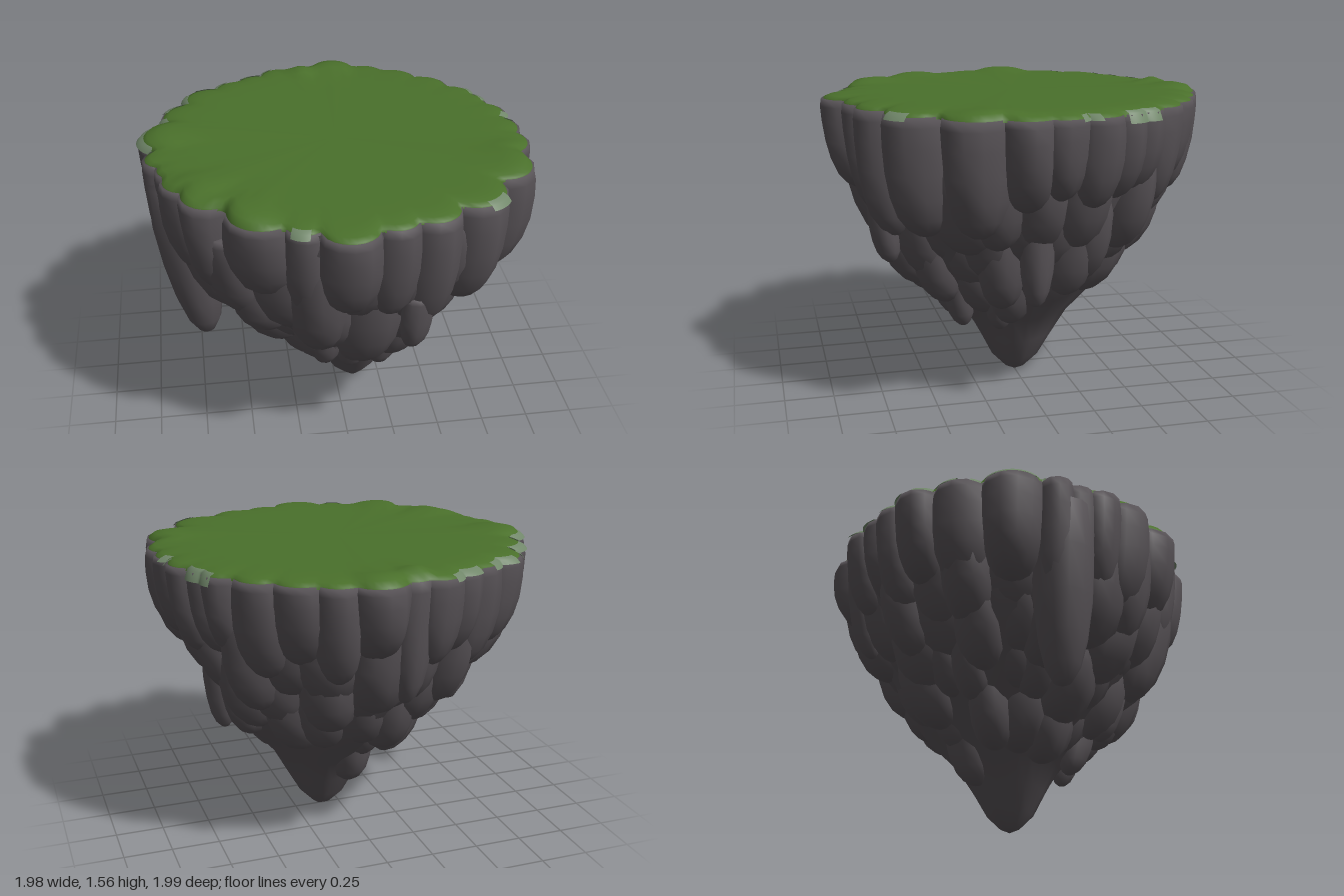
import * as THREE from 'three';
import { mergeVertices } from 'three/addons/utils/BufferGeometryUtils.js';

const TOP = 1.505;

// Rim lobes: outermost x, outermost z, half width, bottom height
const RIM = [
  [0.98, -0.05, 0.12, 1.1], [0.985, 0.14, 0.14, 1.05], [0.93, 0.42, 0.17, 0.92],
  [0.7, 0.71, 0.17, 0.9], [0.42, 0.85, 0.14, 0.86], [0.2, 0.9, 0.12, 0.95],
  [-0.05, 0.99, 0.15, 1.03], [-0.27, 0.88, 0.1, 0.99], [-0.52, 0.8, 0.18, 1.05],
  [-0.78, 0.54, 0.15, 0.97], [-0.88, 0.36, 0.12, 1.0], [-0.91, 0.21, 0.1, 0.95],
  [-0.97, 0.08, 0.09, 0.9],
  [-0.99, -0.17, 0.17, 1.0], [-0.86, -0.45, 0.16, 1.0], [-0.72, -0.67, 0.14, 1.05],
  [-0.53, -0.78, 0.14, 0.98], [-0.39, -0.85, 0.12, 1.08], [-0.23, -0.94, 0.12, 1.05],
  [-0.08, -0.93, 0.1, 0.87], [0.12, -1.0, 0.15, 1.12], [0.32, -0.92, 0.12, 1.0],
  [0.5, -0.83, 0.15, 1.08], [0.68, -0.69, 0.14, 1.0], [0.82, -0.52, 0.12, 1.1],
  [0.87, -0.41, 0.12, 1.08], [0.95, -0.25, 0.12, 1.05],
];

// Lower tiers: count, outer radius, half width, bottom height, lobe length
const TIERS = [
  [21, 0.88, 0.16, 0.84, 0.5], [20, 0.77, 0.155, 0.68, 0.48],
  [17, 0.65, 0.145, 0.53, 0.46], [13, 0.49, 0.125, 0.38, 0.42],
];

// Notable single lobes: x, z, half width, bottom, top, inward lean
const SINGLES = [
  [-0.22, 0.86, 0.18, 0.68, 1.4, 0.1], [0.1, 0.78, 0.18, 0.52, 1.15, 0.1],
  [0.74, 0.03, 0.09, 0.53, 1.05, 0.02], [0.33, 0.8, 0.08, 0.71, 1.05, 0.04],
  [-0.15, 0.6, 0.1, 0.46, 0.9, 0.06], [0.06, 0.47, 0.1, 0.32, 0.75, 0.06],
  [-0.33, 0.25, 0.16, 0.3, 0.8, 0.05], [0.42, 0.18, 0.09, 0.31, 0.75, 0.04],
  [0.27, 0.42, 0.09, 0.31, 0.75, 0.05], [0.7, -0.2, 0.13, 0.55, 1.0, 0.05],
  [0.02, -0.37, 0.13, 0.22, 0.7, 0.05],
];

function seeded(seed) {
  return () => {
    seed = (seed * 16807) % 2147483647;
    return seed / 2147483647;
  };
}

// Apply a rule to each vertex, weld the seam and smooth the normals
function reshape(geometry, rule) {
  const p = geometry.attributes.position;
  const v = new THREE.Vector3();
  for (let i = 0; i < p.count; i++) {
    v.fromBufferAttribute(p, i);
    rule(v);
    p.setXYZ(i, v.x, v.y, v.z);
  }
  geometry.deleteAttribute('uv');
  geometry.deleteAttribute('normal');
  const welded = mergeVertices(geometry, 1e-5);
  welded.computeVertexNormals();
  return welded;
}

const lathe = (points, segments, start, length) =>
  new THREE.LatheGeometry(points.map(([r, y]) => new THREE.Vector2(r, y)), segments, start, length);

// Hanging rock lobe with a blunt lower end, leaning toward the centre
function lobe(x, z, w, bottom, top, lean, phase) {
  const R = Math.hypot(x, z), ux = x / R, uz = z / R;
  const h = top - bottom;
  const profile = [[0, 1], [0.24, 0.985], [0.5, 0.935], [0.74, 0.83], [0.9, 0.66],
    [0.98, 0.46], [1, 0.24], [0.99, 0.08], [0.93, 0], [0, 0]]
    .map(([r, t]) => [r * w, top - t * h]);
  return reshape(lathe(profile, 12), (v) => {
    const t = (top - v.y) / h;
    const a = Math.atan2(v.z, v.x);
    const k = 1 + 0.08 * Math.sin(3 * a + phase) * Math.sin(Math.PI * Math.min(t, 1));
    const c = R - w - lean * t * t;
    v.x = v.x * k + ux * c;
    v.z = v.z * k + uz * c;
  });
}

// Distance from the centre to the scalloped rim in one direction
function rimRadius(a) {
  const dx = Math.cos(a), dz = Math.sin(a);
  let best = 0.85;
  for (const [x, z, w] of RIM) {
    const R = Math.hypot(x, z), s = (R - w) / R;
    const along = (x * dx + z * dz) * s, across = (x * dz - z * dx) * s;
    const d = (w * 0.94) ** 2 - across * across;
    if (d > 0 && along > 0) best = Math.max(best, along + Math.sqrt(d));
  }
  return best;
}

function followRim(v) {
  const a = Math.atan2(v.z, v.x);
  const k = rimRadius(a);
  v.x *= k;
  v.z *= k;
}

export function createModel() {
  const island = new THREE.Group();
  island.name = 'floatingIsland';
  const stone = new THREE.MeshStandardMaterial({ name: 'dark stone', color: 0x575256 });
  const grass = new THREE.MeshStandardMaterial({ name: 'grass green', color: 0x4a702b });
  const pale = new THREE.MeshStandardMaterial({ name: 'pale moss', color: 0x71876a, side: THREE.DoubleSide });
  const add = (name, geometry, material, parent = island) => {
    const mesh = new THREE.Mesh(geometry, material);
    mesh.name = name;
    parent.add(mesh);
  };
  const rand = seeded(41);

  // Solid core tapering to an off-centre point, fuller at the back
  const core = [[0, 0], [0.05, 0.025], [0.12, 0.1], [0.18, 0.22], [0.26, 0.36], [0.38, 0.5],
    [0.53, 0.68], [0.68, 0.9], [0.8, 1.15], [0.86, 1.4], [0.86, 1.5]];
  add('rockCore', reshape(lathe(core, 24), (v) => {
    const a = Math.atan2(v.z, v.x), low = Math.max(0, 1 - v.y / 0.9);
    const back = Math.max(0, Math.cos(a + 0.8)) * Math.max(0, 1 - Math.abs(v.y - 0.5) / 0.4);
    const k = 1 + 0.06 * Math.sin(5 * a + v.y * 4) + 0.12 * back;
    v.x = v.x * k + 0.1 * Math.min(1, low * 1.3);
    v.z *= k;
  }), stone);

  // Scalloped rim
  const rim = new THREE.Group();
  rim.name = 'rimLobes';
  island.add(rim);
  RIM.forEach(([x, z, w, b]) => add('rimLobe', lobe(x, z, w, b, TOP, 0.06, rand() * 6), stone, rim));

  // Tiers of smaller lobes below the rim
  TIERS.forEach(([n, radius, width, bottom, length], tier) => {
    const group = new THREE.Group();
    group.name = 'lobeTier' + (tier + 1);
    island.add(group);
    const shift = 0.025 * Math.max(0, tier - 1);
    for (let i = 0; i < n; i++) {
      const a = ((i + 0.5 * (tier % 2) + 0.4 * (rand() - 0.5)) / n) * Math.PI * 2;
      const r = radius + 0.05 * (rand() - 0.5);
      const w = width * (0.85 + 0.4 * rand());
      const b = bottom + 0.14 * (rand() - 0.5);
      add('hangingLobe', lobe(r * Math.cos(a) + shift, r * Math.sin(a), w, b,
        b + length, 0.08, rand() * 6), stone, group);
    }
  });
  SINGLES.forEach((s) => add('singleLobe', lobe(...s, rand() * 6), stone));

  // Long stalactite on one side
  add('longStalactite', reshape(lathe([[0, 0.48], [0.045, 0.5], [0.09, 0.58], [0.125, 0.72],
    [0.15, 0.92], [0.16, 1.15], [0.14, 1.4], [0, 1.45]], 12), (v) => {
    v.x -= 0.71 + 0.1 * Math.max(0, (v.y - 0.48) / 0.9);
    v.z += 0.12;
  }), stone);

  // Grass sheet following the rim, with low mounds near the edge
  const mounds = [[-0.08, -0.83, 0.09, 0.03], [-0.55, 0.68, 0.2, 0.022], [-0.85, -0.15, 0.18, 0.02],
    [0.1, -0.88, 0.14, 0.02], [0.85, 0.3, 0.18, 0.014], [-0.7, 0.4, 0.15, 0.02]];
  const sheet = [[0.99, 1.495], [0.984, 1.511], [0.955, 1.522], [0.9, 1.53], [0.84, 1.532],
    [0.76, 1.532], [0.6, 1.532], [0, 1.532]];
  add('grassTop', reshape(lathe(sheet, 180), (v) => {
    followRim(v);
    if (v.y < 1.52) return;
    for (const [x, z, r, h] of mounds) {
      v.y += h * Math.max(0, 1 - ((v.x - x) ** 2 + (v.z - z) ** 2) / (r * r));
    }
  }), grass);

  // Thin pale patches along parts of the grass edge: start angle, arc length, lower edge
  [[3.4, 0.22, 1.495], [3.72, 0.2, 1.49], [4.0, 0.25, 1.49], [4.32, 0.4, 1.49], [1.95, 0.2, 1.465],
    [0.7, 0.13, 1.49], [5.93, 0.1, 1.49], [1.68, 0.1, 1.495]].forEach(([start, length, low]) => {
    const band = lathe([[1.014, low], [0.994, 1.512], [0.965, 1.523]], 24, start, length);
    add('paleEdge', reshape(band, followRim), pale);
  });
  return island;
}
